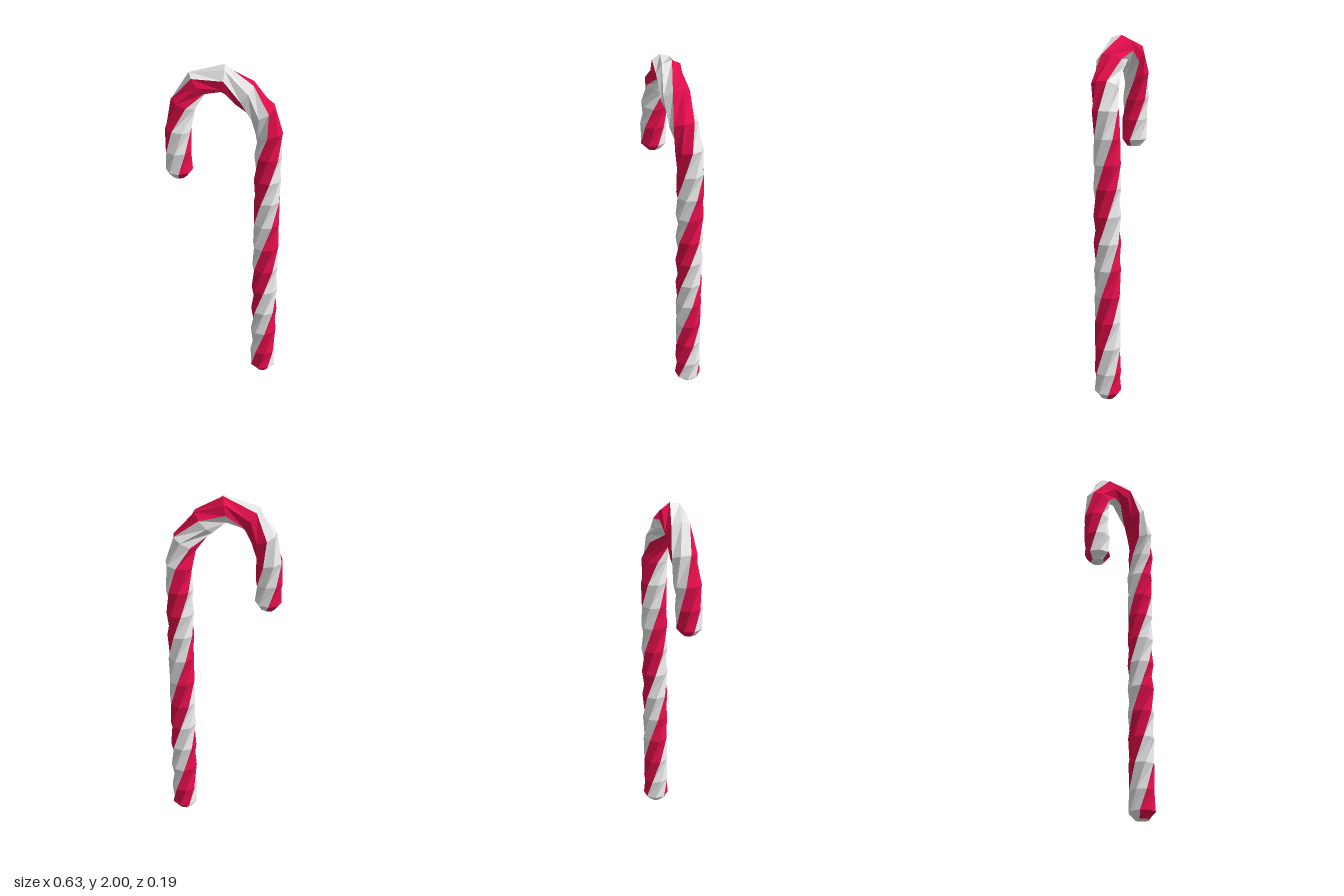
import * as THREE from 'three';

const SIDES = 8;
const TWIST = THREE.MathUtils.degToRad(265); // stripe turn per unit of length
const START = THREE.MathUtils.degToRad(-69); // edge of the first red stripe at the foot

// Centre line rings: x, y, z, radius
function pathRings() {
  const rings = [[0.235, 0, -0.004, 0.04], [0.235, 0.04, -0.004, 0.075]];
  for (const y of [0.155, 0.305, 0.455, 0.605, 0.755, 0.905, 1.055, 1.205, 1.335, 1.475]) {
    rings.push([0.235, y, -0.004, 0.075]);
  }
  rings.push(
    [0.236, 1.615, 0.004, 0.074],
    [0.2, 1.742, 0.018, 0.075],
    [0.103, 1.853, 0.02, 0.077],
    [-0.01, 1.927, 0.005, 0.074],
    [-0.14, 1.891, -0.021, 0.073],
    [-0.213, 1.78, -0.022, 0.072],
    [-0.243, 1.638, -0.014, 0.073],
    [-0.245, 1.515, -0.006, 0.073],
    [-0.243, 1.4, -0.003, 0.073],
    [-0.241, 1.36, -0.003, 0.04],
  );
  return rings;
}

// Twisted octagon around each ring centre
function crossSections() {
  const rings = pathRings();
  const centers = rings.map(r => new THREE.Vector3(r[0], r[1], r[2]));
  const front = new THREE.Vector3(0, 0, 1);
  let length = -0.04;
  return centers.map((c, i) => {
    if (i > 0) length += c.distanceTo(centers[i - 1]);
    const tangent = new THREE.Vector3();
    if (i > 0) tangent.add(c.clone().sub(centers[i - 1]).normalize());
    if (i < centers.length - 1) tangent.add(centers[i + 1].clone().sub(c).normalize());
    tangent.z = 0;
    const out = tangent.normalize().clone().cross(front);
    const points = [];
    for (let j = 0; j < SIDES; j++) {
      const a = START + length * TWIST + (j / SIDES) * Math.PI * 2;
      points.push(c.clone()
        .addScaledVector(front, Math.cos(a) * rings[i][3])
        .addScaledVector(out, Math.sin(a) * rings[i][3]));
    }
    return points;
  });
}

function facetMesh(name, points, material) {
  const geometry = new THREE.BufferGeometry().setFromPoints(points);
  geometry.computeVertexNormals(); // unshared corners keep the facets flat
  const mesh = new THREE.Mesh(geometry, material);
  mesh.name = name;
  return mesh;
}

// One stripe, two facets wide, running the whole length
function stripePoints(sections, first) {
  const points = [];
  for (let i = 0; i < sections.length - 1; i++) {
    for (let j = first; j < first + 2; j++) {
      const k = (j + 1) % SIDES;
      const a = sections[i][j], b = sections[i][k];
      const c = sections[i + 1][k], d = sections[i + 1][j];
      points.push(a, b, c, a, c, d);
    }
  }
  return points;
}

// Flat octagon closing an end
function endPoints(section, reversed) {
  const points = [];
  for (let j = 1; j < SIDES - 1; j++) {
    if (reversed) points.push(section[0], section[j + 1], section[j]);
    else points.push(section[0], section[j], section[j + 1]);
  }
  return points;
}

export function createModel() {
  const red = new THREE.MeshStandardMaterial({ color: 0xe00d4a });
  red.name = 'candy red';
  const white = new THREE.MeshStandardMaterial({ color: 0xe6e6e6 });
  white.name = 'sugar white';

  const group = new THREE.Group();
  group.name = 'candyCane';
  const sections = crossSections();

  // Alternating spiral stripes
  for (let s = 0; s < 4; s++) {
    const isRed = s % 2 === 0;
    group.add(facetMesh(isRed ? 'redStripe' : 'whiteStripe',
      stripePoints(sections, s * 2), isRed ? red : white));
  }

  // End faces
  group.add(facetMesh('footEnd', endPoints(sections[0], true), white));
  group.add(facetMesh('hookEnd', endPoints(sections[sections.length - 1], false), white));
  return group;
}
